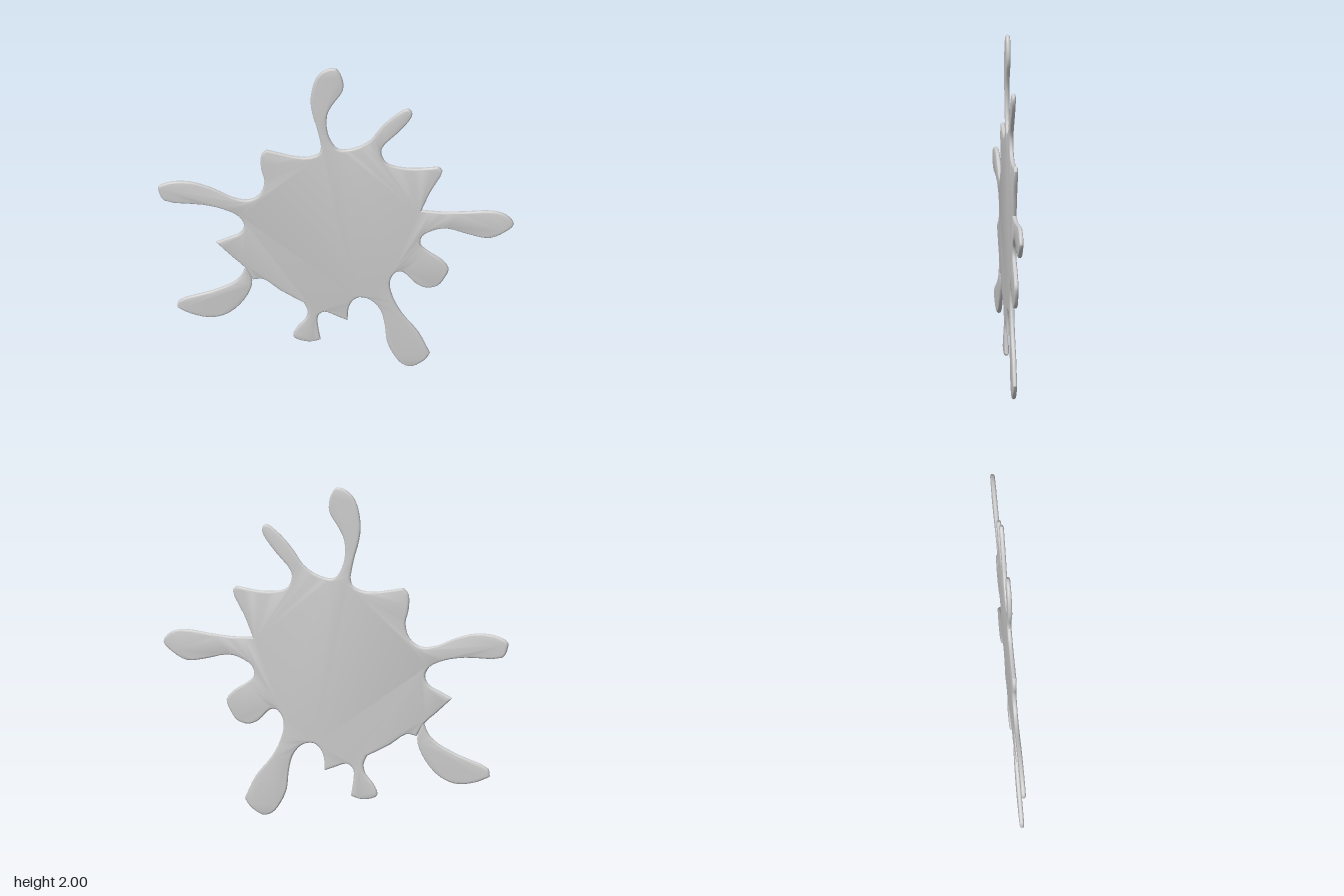
import * as THREE from 'three';
import { toCreasedNormals } from 'three/addons/utils/BufferGeometryUtils.js';

const HALF = 0.0125; // half of the sheet thickness
const BEVEL = 0.014; // width of the rounded rim

// Smooth runs of the outline (x, y pairs, clockwise); runs meet at sharp corners.
const topArms = [
  -0.39, 1.435, -0.18, 1.393, -0.09, 1.43, -0.1, 1.56, -0.135, 1.7, -0.142, 1.8, -0.11, 1.935,
  -0.055, 1.99, 0, 1.997, 0.037, 1.925, 0.037, 1.85, -0.02, 1.755, -0.05, 1.68, -0.045, 1.555,
  0, 1.465, 0.04, 1.452, 0.125, 1.475, 0.19, 1.52, 0.245, 1.6, 0.32, 1.685, 0.405, 1.743,
  0.427, 1.72, 0.42, 1.68, 0.35, 1.583, 0.257, 1.47, 0.27, 1.39, 0.31, 1.358, 0.44, 1.342, 0.575, 1.357,
];
const upperRightSpike = [0.575, 1.357, 0.597, 1.33, 0.53, 1.187, 0.48, 1.06];
const rightArms = [
  0.48, 1.06, 0.6, 1.053, 0.73, 1.06, 0.88, 1.07, 0.96, 1.043, 0.998, 0.985, 0.945, 0.93,
  0.86, 0.888, 0.745, 0.91, 0.635, 0.942, 0.57, 0.937, 0.485, 0.888, 0.475, 0.83, 0.515, 0.786,
  0.59, 0.733, 0.632, 0.674, 0.61, 0.61, 0.57, 0.556, 0.505, 0.54, 0.447, 0.567, 0.377, 0.64,
  0.335, 0.636, 0.302, 0.567, 0.32, 0.465, 0.37, 0.36, 0.463, 0.235, 0.527, 0.096,
];
const lowerRightArm = [
  0.527, 0.096, 0.5, 0.053, 0.425, 0.005, 0.37, 0.02, 0.32, 0.085, 0.285, 0.17, 0.275, 0.267,
  0.25, 0.375, 0.195, 0.444, 0.13, 0.46, 0.09, 0.43, 0.07, 0.38, 0.065, 0.303,
];
const bottomDripInner = [
  0.065, 0.303, 0.01, 0.326, -0.065, 0.355, -0.1, 0.326, -0.1, 0.25, -0.086, 0.166,
];
const bottomDripOuter = [
  -0.086, 0.166, -0.15, 0.15, -0.22, 0.166, -0.24, 0.187, -0.217, 0.246, -0.17, 0.305,
  -0.16, 0.358, -0.18, 0.412,
];
const lowerLeftEdge = [-0.18, 0.412, -0.313, 0.492, -0.41, 0.564, -0.467, 0.558];
const leftSpike = [-0.467, 0.558, -0.51, 0.636, -0.58, 0.706, -0.673, 0.802];
const leftArm = [
  -0.673, 0.802, -0.607, 0.834, -0.537, 0.87, -0.516, 0.92, -0.543, 0.979, -0.634, 1.027,
  -0.75, 1.053, -0.965, 1.073, -0.995, 1.134, -0.995, 1.166, -0.928, 1.198, -0.82, 1.203,
  -0.698, 1.166, -0.58, 1.107, -0.49, 1.094, -0.425, 1.139, -0.402, 1.225, -0.42, 1.305,
  -0.42, 1.4, -0.39, 1.435,
];

// Teardrop touching the lower left edge.
const dropSides = [
  [-0.505, 0.65, -0.47, 0.545, -0.495, 0.455, -0.564, 0.358, -0.634, 0.31, -0.71, 0.293,
    -0.815, 0.315, -0.89, 0.353],
  [-0.89, 0.353, -0.88, 0.4, -0.714, 0.465, -0.59, 0.524, -0.537, 0.572, -0.505, 0.65],
];

// Joins smooth runs into one closed shape.
function outline(runs) {
  const points = [];
  for (const run of runs) {
    const knots = [];
    for (let i = 0; i < run.length; i += 2) knots.push(new THREE.Vector3(run[i], run[i + 1], 0));
    const curve = new THREE.CatmullRomCurve3(knots, false, 'centripetal');
    const samples = curve.getPoints((knots.length - 1) * 3);
    samples.pop(); // the next run starts at this corner
    for (const p of samples) points.push(new THREE.Vector2(p.x, p.y));
  }
  return new THREE.Shape(points);
}

// Thin sheet with a rounded rim, centred on z = 0.
function sheet(name, runs) {
  const flat = 0.004;
  const geometry = new THREE.ExtrudeGeometry(outline(runs), {
    depth: flat,
    bevelThickness: HALF - flat / 2,
    bevelSize: BEVEL,
    bevelOffset: -BEVEL,
    bevelSegments: 4,
  });
  geometry.translate(0, 0, -flat / 2);
  const material = new THREE.MeshStandardMaterial({ color: 0xcccccc });
  const mesh = new THREE.Mesh(toCreasedNormals(geometry, 0.6), material);
  mesh.name = name;
  return mesh;
}

export function createModel() {
  const group = new THREE.Group();
  group.name = 'splat';
  group.add(
    sheet('splatBody', [
      topArms, upperRightSpike, rightArms, lowerRightArm, bottomDripInner,
      bottomDripOuter, lowerLeftEdge, leftSpike, leftArm,
    ]),
    sheet('lowerLeftDrop', dropSides),
  );
  return group;
}
